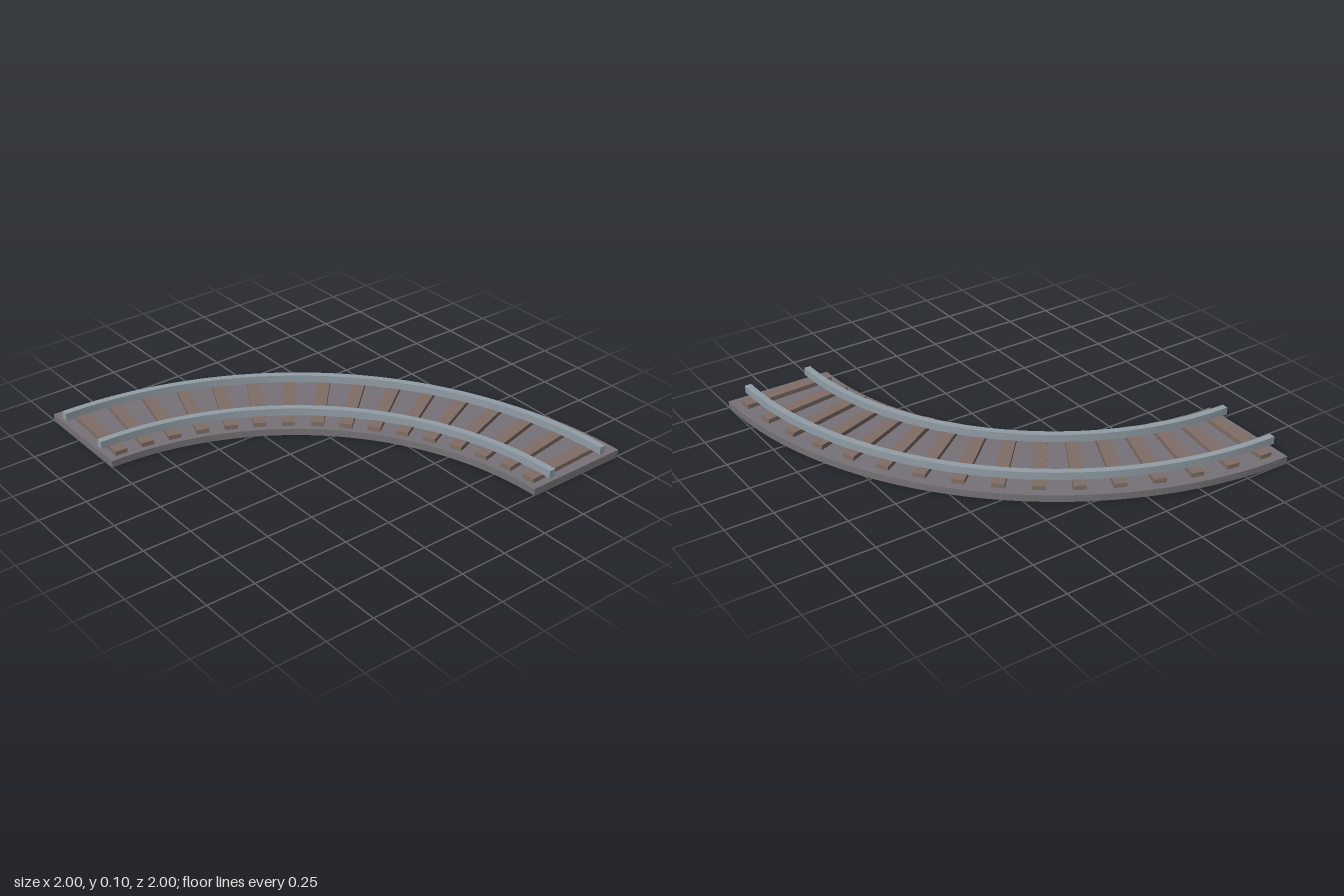
import * as THREE from 'three';
import { toCreasedNormals } from 'three/addons/utils/BufferGeometryUtils.js';

const QUARTER = Math.PI / 2;

// Quarter ring of rectangular section, centred on the origin, from y0 to y1
function quarterRing(name, inner, outer, y0, y1, material) {
  const shape = new THREE.Shape();
  shape.absarc(0, 0, outer, QUARTER, Math.PI, false);
  shape.absarc(0, 0, inner, Math.PI, QUARTER, true);
  shape.closePath();
  const geometry = new THREE.ExtrudeGeometry(shape, {
    depth: y1 - y0, bevelEnabled: false, curveSegments: 48,
  });
  geometry.rotateX(-QUARTER).translate(0, y0, 0);
  const mesh = new THREE.Mesh(toCreasedNormals(geometry, 0.5), material);
  mesh.name = name;
  return mesh;
}

export function createModel() {
  const model = new THREE.Group();
  model.name = 'curvedTrack';
  const bedMaterial = new THREE.MeshStandardMaterial({ color: 0x767277 });
  const tieMaterial = new THREE.MeshStandardMaterial({ color: 0x806e66 });
  const railMaterial = new THREE.MeshStandardMaterial({ color: 0x929da6 });

  // Everything turns about the centre of the curve
  const curve = new THREE.Group();
  curve.name = 'curve';
  curve.position.set(1, 0, 1);
  model.add(curve);

  // Gravel bed
  curve.add(quarterRing('bed', 1.43, 2, 0, 0.036, bedMaterial));

  // Two rails resting on the ties
  curve.add(quarterRing('innerRail', 1.525, 1.56, 0.058, 0.098, railMaterial));
  curve.add(quarterRing('outerRail', 1.867, 1.902, 0.058, 0.098, railMaterial));

  // Radial ties, evenly spaced
  const count = 16;
  const tieGeometry = new THREE.BoxGeometry(0.495, 0.024, 0.065);
  tieGeometry.translate(-1.708, 0.047, 0);
  for (let i = 0; i < count; i++) {
    const tie = new THREE.Mesh(tieGeometry, tieMaterial);
    tie.name = 'tie' + (i + 1);
    tie.rotation.y = -((i + 0.5) / count) * QUARTER;
    curve.add(tie);
  }
  return model;
}
